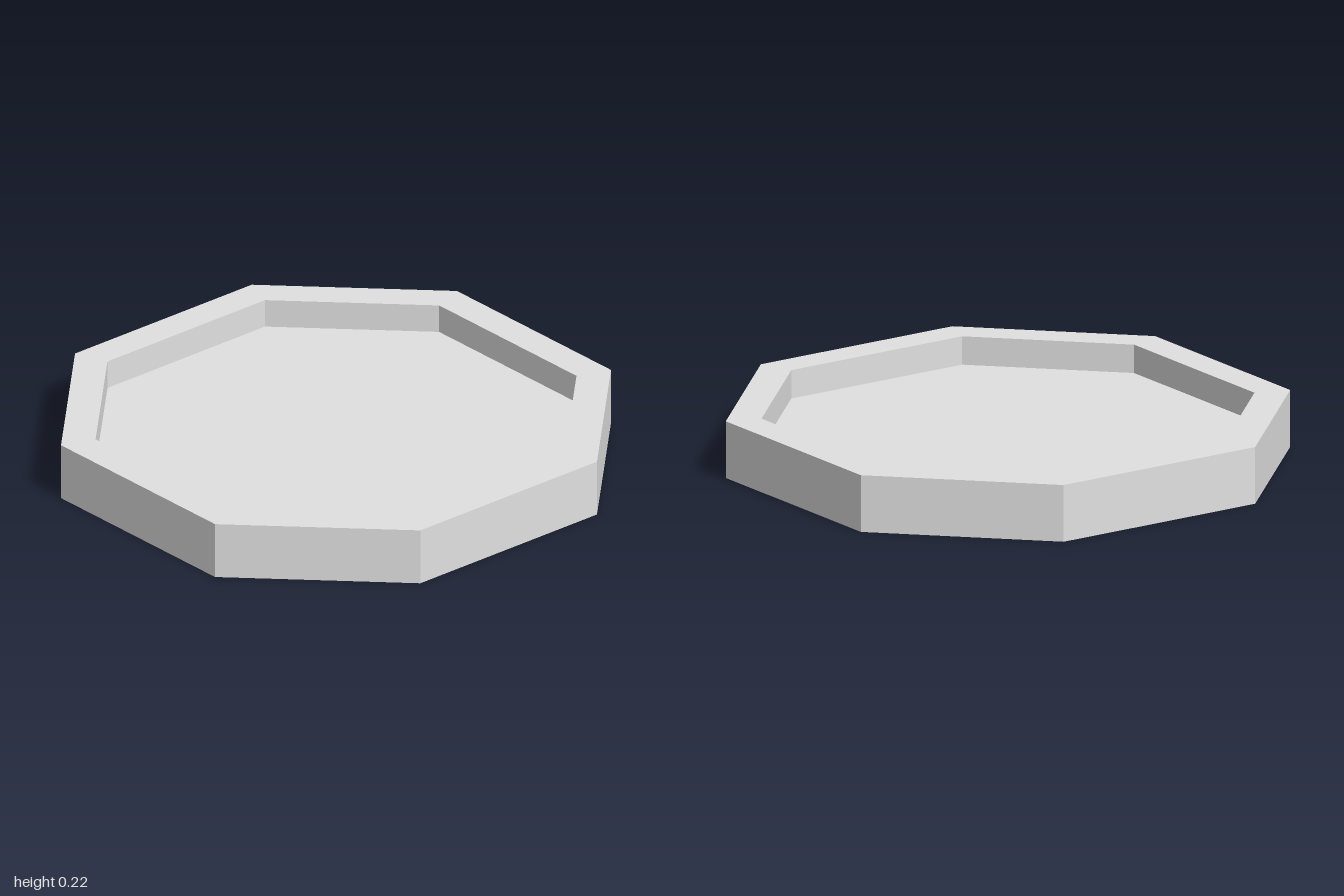
import * as THREE from 'three';

const HEIGHT = 0.22;

// Eight corners of an octagon with flat sides at +-half and side half-length edge
function octagon(half, edge) {
  const points = [];
  for (let i = 0; i < 4; i++) {
    const turn = (i * Math.PI) / 2;
    for (const side of [-edge, edge]) {
      points.push(new THREE.Vector2(half, side).rotateAround(new THREE.Vector2(), turn));
    }
  }
  return points;
}

export function createModel() {
  const grey = new THREE.MeshStandardMaterial({ color: 0xe0e0e0 });
  grey.name = 'light grey';
  const greySheet = grey;
  greySheet.side = THREE.DoubleSide;

  const group = new THREE.Group();
  group.name = 'octagonalTray';

  // Rim: octagonal ring, open above and below the floor
  const inner = octagon(0.875, 0.325);
  const ring = new THREE.Shape(octagon(1, 0.383));
  ring.holes.push(new THREE.Path(inner.slice().reverse()));
  const rimGeometry = new THREE.ExtrudeGeometry(ring, { depth: HEIGHT, bevelEnabled: false });
  rimGeometry.rotateX(-Math.PI / 2);
  const rim = new THREE.Mesh(rimGeometry, grey);
  rim.name = 'rim';
  group.add(rim);

  // Floor: thin sheet halfway up the rim, seen from both sides
  const floorGeometry = new THREE.ShapeGeometry(new THREE.Shape(inner));
  floorGeometry.rotateX(-Math.PI / 2);
  const floor = new THREE.Mesh(floorGeometry, greySheet);
  floor.name = 'floor';
  floor.position.y = HEIGHT / 2;
  group.add(floor);

  return group;
}
